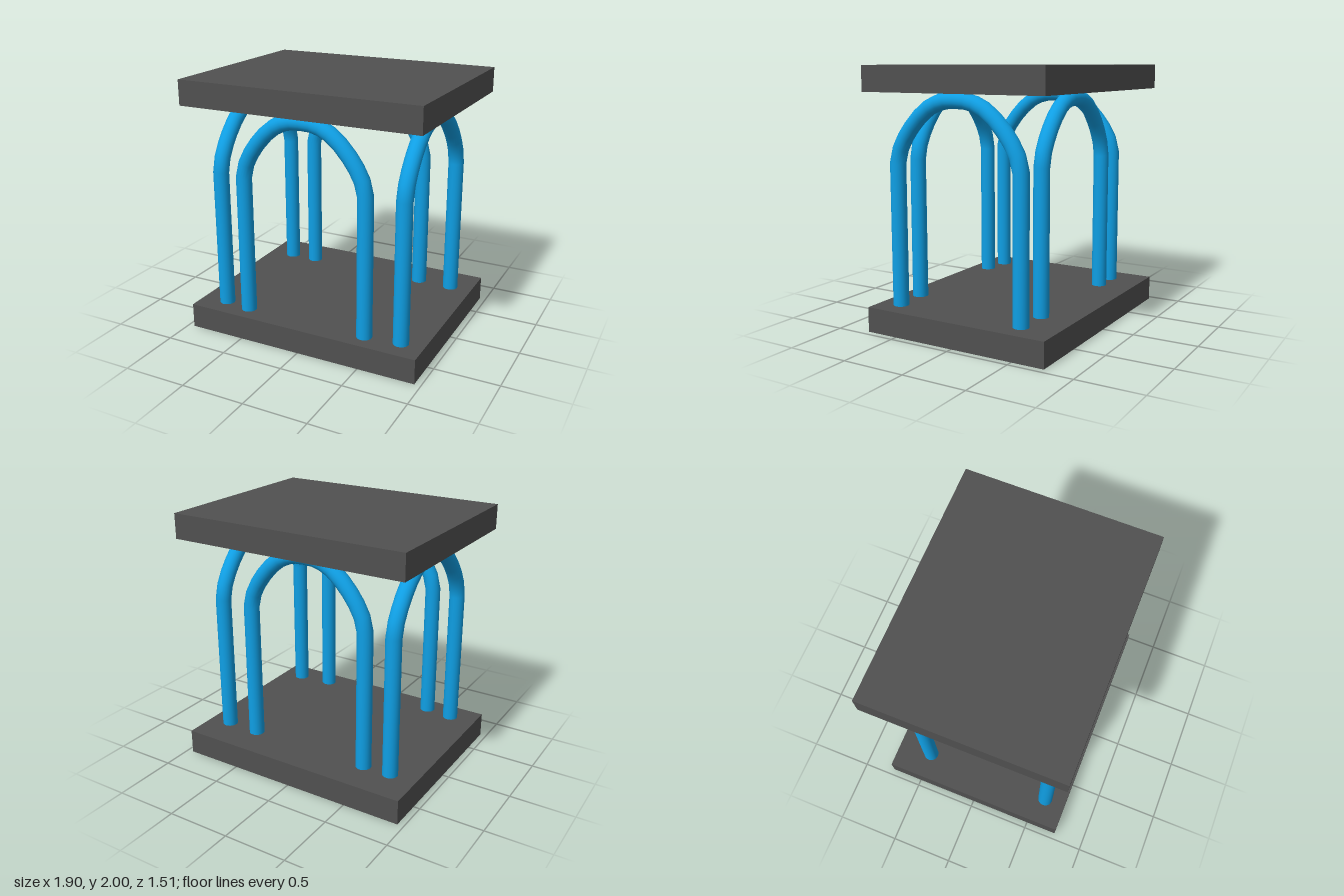
import * as THREE from 'three';

const TUBE_RADIUS = 0.06, SIDES = 20;

// Right half of the arch centreline for a half-span of 0.5: [x, y] from foot to crown
const HALF = [
  [0.5, 0.19], [0.5, 1.28], [0.473, 1.39], [0.427, 1.477], [0.372, 1.554],
  [0.302, 1.632], [0.222, 1.697], [0.15, 1.732], [0.08, 1.75],
];

// Sweeps a round section along a planar arch standing in the x/y plane
function archGeometry(halfSpan) {
  const k = halfSpan / 0.5;
  const right = HALF.map(([x, y]) => new THREE.Vector2(x * k, y));
  const left = right.map((p) => new THREE.Vector2(-p.x, p.y)).reverse();
  const path = [...right, new THREE.Vector2(0, 1.754), ...left];
  const pos = [], index = [];
  path.forEach((p, i) => {
    const before = p.clone().sub(path[Math.max(i - 1, 0)]).normalize();
    const after = path[Math.min(i + 1, path.length - 1)].clone().sub(p).normalize();
    const t = before.add(after).normalize();
    for (let j = 0; j < SIDES; j++) {
      const a = (j / SIDES) * Math.PI * 2;
      const out = Math.cos(a) * TUBE_RADIUS;
      pos.push(p.x + t.y * out, p.y - t.x * out, Math.sin(a) * TUBE_RADIUS);
      if (i === 0) continue;
      const n = (j + 1) % SIDES, lo = (i - 1) * SIDES, hi = i * SIDES;
      index.push(lo + j, hi + j, lo + n, lo + n, hi + j, hi + n);
    }
  });
  const g = new THREE.BufferGeometry();
  g.setAttribute('position', new THREE.Float32BufferAttribute(pos, 3));
  g.setIndex(index);
  g.computeVertexNormals();
  return g;
}

export function createModel() {
  const group = new THREE.Group();
  const grey = new THREE.MeshStandardMaterial({ name: 'dark grey', color: 0x505050 });
  const blue = new THREE.MeshStandardMaterial({ name: 'blue', color: 0x0f9fe4, side: THREE.DoubleSide });

  const add = (name, geometry, material, x, y, z, turn = 0) => {
    const mesh = new THREE.Mesh(geometry, material);
    mesh.name = name;
    mesh.position.set(x, y, z);
    mesh.rotation.y = turn;
    group.add(mesh);
  };

  // Base and roof slabs
  const slab = new THREE.BoxGeometry(1.9, 0.193, 1.51);
  add('baseSlab', slab, grey, 0, 0.0965, 0);
  add('roofSlab', slab, grey, 0, 1.9035, 0);

  // Arches along the front and back
  const wide = archGeometry(0.5);
  add('frontArch', wide, blue, -0.01, 0, 0.61);
  add('backArch', wide, blue, -0.01, 0, -0.48);

  // Arches along the two sides
  const side = archGeometry(0.5275);
  add('leftArch', side, blue, 0.77, 0, 0.053, Math.PI / 2);
  add('rightArch', side, blue, -0.735, 0, 0.053, Math.PI / 2);

  return group;
}
